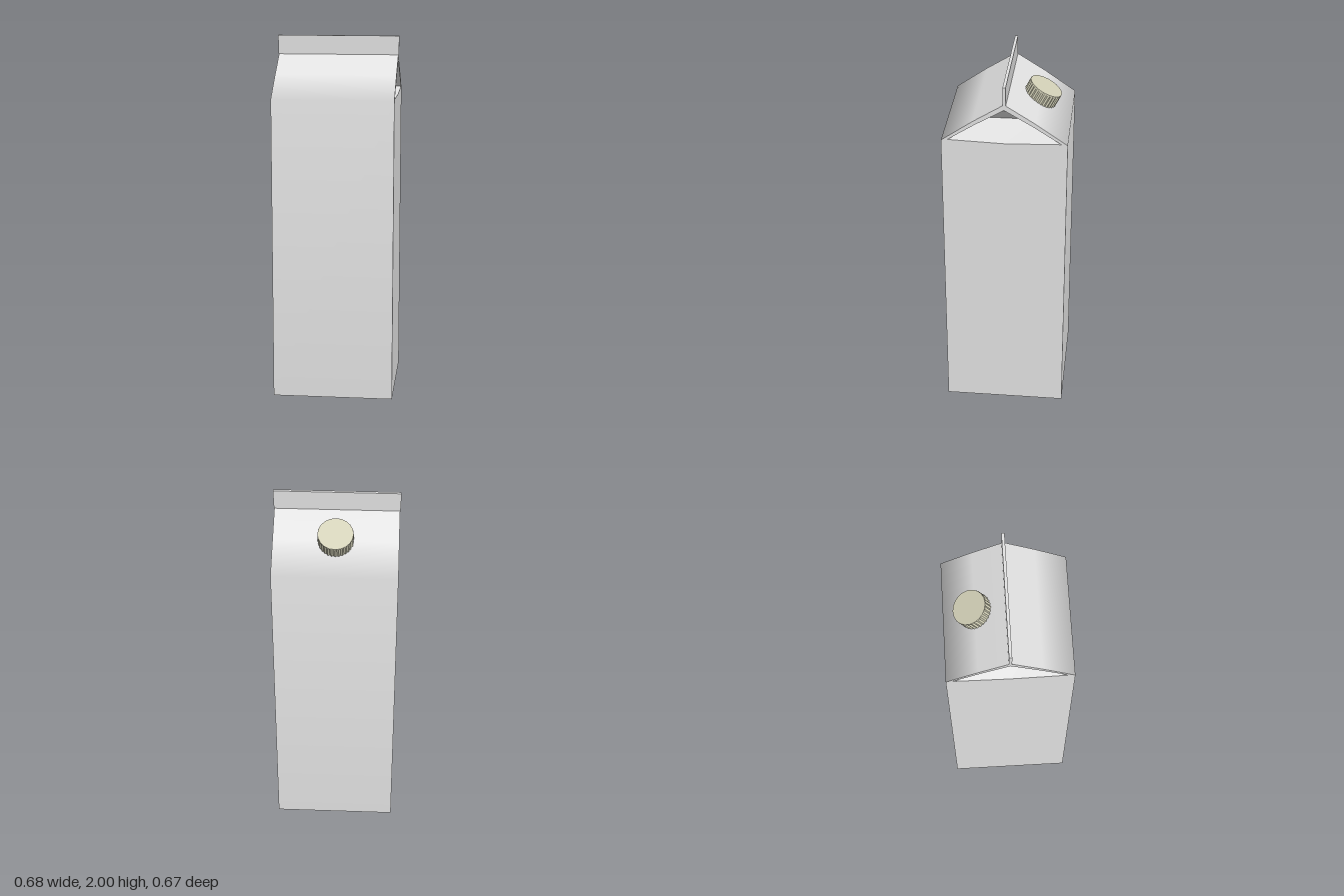
import * as THREE from 'three';

const A = 0.334;          // half width of the carton
const SHOULDER = 1.68;    // top of the straight walls
const BEND = [0.165, 1.797];
const RIDGE = 1.9;

// Geometry from a flat list of points and triangle indices
function facets(points, faces, normals) {
  const g = new THREE.BufferGeometry();
  g.setAttribute('position', new THREE.Float32BufferAttribute(points.flat(), 3));
  g.setIndex(faces.flat());
  if (normals) {
    g.setAttribute('normal', new THREE.Float32BufferAttribute(normals.flat(), 3));
    return g;
  }
  const flat = g.toNonIndexed();
  flat.computeVertexNormals();
  return flat;
}

// Front wall running smoothly over the shoulder into the roof slope
function wallAndRoof() {
  const profile = [
    [A, 0, 0], [A, SHOULDER, 0.12], [...BEND, 1.02], [0, RIDGE, 1.03],
  ]; // z, y, angle of the normal above the horizon
  const points = [], normals = [], faces = [];
  profile.forEach(([z, y, t], i) => {
    for (const x of [-A, A]) {
      points.push([x, y, z]);
      normals.push([0, Math.sin(t), Math.cos(t)]);
    }
    if (i) {
      const k = 2 * i - 2;
      faces.push([k, k + 1, k + 3], [k, k + 3, k + 2]);
    }
  });
  return facets(points, faces, normals);
}

// Side wall with its gable rim, open where the gable is folded in
function sideWall(opening) {
  const shape = new THREE.Shape([
    [-A, 0], [A, 0], [A, SHOULDER], BEND, [0, RIDGE], [-BEND[0], BEND[1]], [-A, SHOULDER],
  ].map(p => new THREE.Vector2(...p)));
  shape.holes.push(new THREE.Path(opening.map(([x, y]) => new THREE.Vector2(x, y))));
  return new THREE.ShapeGeometry(shape);
}

// Ribbed cap wall
function capRibs(radius, height) {
  const teeth = 30, pts = [];
  for (let i = 0; i < teeth * 2; i++) {
    const t = (i / (teeth * 2)) * Math.PI * 2, r = i % 2 ? radius : radius - 0.005;
    pts.push(new THREE.Vector2(Math.cos(t) * r, Math.sin(t) * r));
  }
  return new THREE.ExtrudeGeometry(new THREE.Shape(pts), { depth: height, bevelEnabled: false })
    .rotateX(-Math.PI / 2);
}

export function createModel() {
  const group = new THREE.Group();
  const board = new THREE.MeshStandardMaterial({ name: 'whiteBoard', color: 0xe2e2e2 });
  const cream = new THREE.MeshStandardMaterial({ name: 'creamPlastic', color: 0xd3d1b8 });
  const add = (name, geometry, material, parent = group) => {
    const mesh = new THREE.Mesh(geometry, material);
    mesh.name = name;
    parent.add(mesh);
    return mesh;
  };

  // Front and back walls with roof slopes
  const wall = wallAndRoof();
  add('frontWallAndRoof', wall, board);
  add('backWallAndRoof', wall, board).rotation.y = Math.PI;

  // Side walls and the folded gable pockets behind their openings
  const depth = 0.2;
  const pocket = [
    [-0.3, 1.685, 0], [0, 1.675, 0], [0.3, 1.685, 0],
    [0.155, 1.778, 0], [0, 1.868, 0], [-0.155, 1.778, 0],
    [-0.155, 1.725, -depth], [0.155, 1.725, -depth],
  ];
  const ledge = facets(pocket, [[0, 1, 6], [1, 7, 6], [1, 2, 7]]);
  const flap = facets(pocket, [[0, 6, 5], [6, 4, 5], [6, 7, 4], [7, 3, 4], [2, 3, 7]]);
  const side = sideWall(pocket.slice(0, 6));
  for (const [name, sign] of [['left', 1], ['right', -1]]) {
    const gable = new THREE.Group();
    gable.name = name + 'Side';
    gable.rotation.y = sign * Math.PI / 2;
    gable.position.x = sign * A;
    add(name + 'Wall', side, board, gable);
    add(name + 'GableLedge', ledge, board, gable);
    add(name + 'GableFlap', flap, board, gable);
    group.add(gable);
  }

  // Base
  add('base', new THREE.PlaneGeometry(2 * A, 2 * A).rotateX(Math.PI / 2), board);

  // Sealed top fin, slightly wider at its upper edge
  const fin = new THREE.BoxGeometry(0.672, 0.11, 0.016);
  const pos = fin.attributes.position;
  for (let i = 0; i < pos.count; i++) {
    if (pos.getY(i) > 0) pos.setX(i, Math.sign(pos.getX(i)) * 0.339);
  }
  add('topFin', fin, board).position.set(0, 1.945, -0.001);

  // Screw cap on the back slope
  const cap = new THREE.Group();
  cap.name = 'cap';
  cap.position.set(0, 1.86, -0.195);
  cap.rotation.x = -0.48;
  add('capRibs', capRibs(0.095, 0.072), cream, cap).position.y = -0.075;
  const lid = add('capTop', new THREE.CylinderGeometry(0.0945, 0.0955, 0.006, 20), cream, cap);
  lid.position.y = -0.003;
  group.add(cap);

  return group;
}
